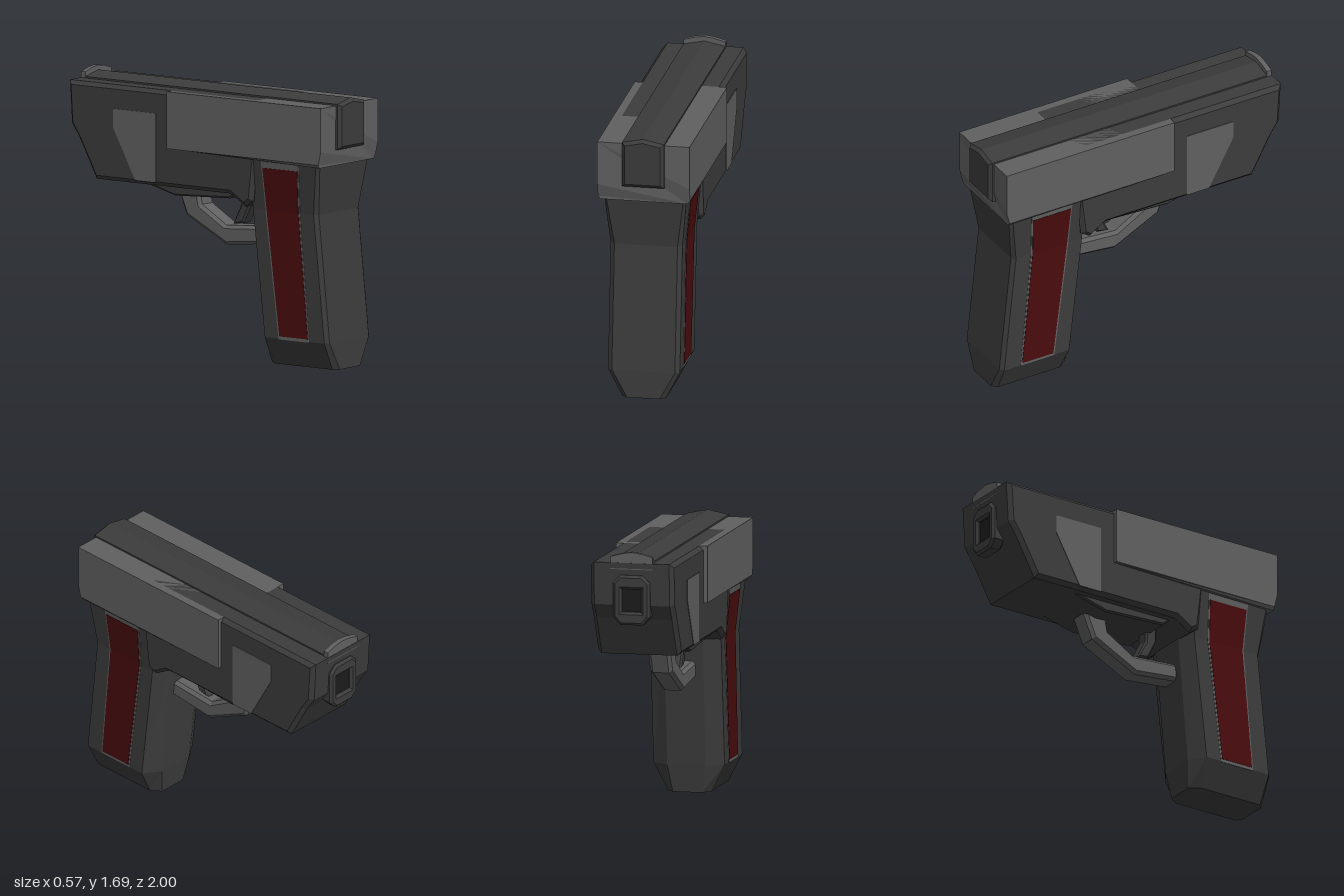
import * as THREE from 'three';

const mat = (color) => new THREE.MeshStandardMaterial({ color, flatShading: true });
const dark = mat(0x3c3c3c), light = mat(0x606060), red = mat(0x4a0c0e), black = mat(0x1c1c1c);

function toShape(points) {
  return new THREE.Shape(points.map(([a, b]) => new THREE.Vector2(a, b)));
}

// Extrusion centred on its depth axis, chamfered inside the given outline
function extrude(shape, depth, bevel) {
  const g = new THREE.ExtrudeGeometry(shape, {
    depth: depth - 2 * bevel, bevelEnabled: bevel > 0, bevelSegments: 1,
    bevelSize: bevel, bevelThickness: bevel, bevelOffset: -bevel,
  });
  return g.translate(0, 0, bevel - depth / 2);
}

// Side outline in [z, y], extruded across x
function slab(points, halfWidth, bevel = 0) {
  return extrude(toShape(points), 2 * halfWidth, bevel).rotateY(-Math.PI / 2);
}

// Front outline in [x, y], extruded from z0 to z1
function bar(shape, z0, z1, bevel = 0) {
  return extrude(shape, z1 - z0, bevel).translate(0, 0, (z0 + z1) / 2);
}

// Mirrors the +x half of an outline, listed from bottom to top
function mirrored(half) {
  return [...half, ...half.slice().reverse().map(([x, y]) => [-x, y])];
}

// Skin over rings { y, pts: [x, z] }, from bottom to top, with end caps
function loft(rings) {
  const n = rings[0].pts.length, pos = [], idx = [];
  for (const { y, pts } of rings) for (const [x, z] of pts) pos.push(x, y, z);
  for (let i = 0; i < rings.length - 1; i++) {
    for (let j = 0; j < n; j++) {
      const a = i * n + j, b = i * n + (j + 1) % n;
      idx.push(a, b, b + n, a, b + n, a + n);
    }
  }
  const top = (rings.length - 1) * n;
  for (let j = 1; j < n - 1; j++) idx.push(0, j + 1, j, top, top + j, top + j + 1);
  const g = new THREE.BufferGeometry();
  g.setAttribute('position', new THREE.Float32BufferAttribute(pos, 3));
  g.setIndex(idx);
  const flat = g.toNonIndexed();
  flat.computeVertexNormals();
  return flat;
}

// Grip section: thin chamfers at the back, deep ones at the front
function gripRing(y, back, front, w, fBack, fFront, cBack, cFront) {
  return { y, pts: [
    [w, back - cBack], [w, front + cFront], [fFront, front], [-fFront, front],
    [-w, front + cFront], [-w, back - cBack], [-fBack, back], [fBack, back],
  ] };
}

function rectRing(y, back, front, w) {
  return { y, pts: [[w, back], [w, front], [-w, front], [-w, back]] };
}

export function createModel() {
  const group = new THREE.Group();
  const add = (name, geometry, material) => {
    const mesh = new THREE.Mesh(geometry, material);
    mesh.name = name;
    group.add(mesh);
  };

  // Main body with the slanted nose
  add('frame', slab([
    [0.45, 1.62], [-0.985, 1.62], [-0.97, 1.36], [-0.91, 1.27], [-0.78, 1.03],
    [0.25, 1.03], [0.36, 0.96], [0.42, 1.0], [0.45, 1.25],
  ].reverse(), 0.26, 0.025), dark);
  add('underside', slab([
    [0.28, 1.06], [0.2, 0.99], [-0.22, 0.97], [-0.45, 1.03], [-0.45, 1.06],
  ].reverse(), 0.19, 0.01), dark);

  // Wide rear cover, its back face leaning in at the bottom
  const cover = bar(toShape(mirrored([[0.27, 1.25], [0.285, 1.27], [0.285, 1.35], [0.285, 1.62]])), -0.21, 0.97);
  const p = cover.attributes.position;
  for (let i = 0; i < p.count; i++) {
    if (p.getY(i) < 1.3 && p.getZ(i) > 0) p.setZ(i, 0.95);
    if (p.getY(i) < 1.26 && p.getZ(i) < 0) p.setY(i, 1.27);
  }
  cover.computeVertexNormals();
  add('rearCover', cover, light);

  // Ridged rail along the top
  const rail = toShape([[0.13, 1.35], [0.13, 1.63], [0, 1.657], [-0.13, 1.63], [-0.13, 1.35]]);
  add('topRail', bar(rail, -0.975, 1.0, 0.02), dark);

  // Sight plate
  const sight = toShape([[0.13, 1.58], [0.13, 1.658], [0.06, 1.677], [0, 1.686],
    [-0.06, 1.677], [-0.13, 1.658], [-0.13, 1.58]]);
  add('sight', bar(sight, -0.983, -0.95), light);

  // Muzzle collar with a square opening
  const collar = toShape(mirrored([[0.07, 1.24], [0.115, 1.29], [0.115, 1.5], [0.07, 1.545]]));
  collar.holes.push(new THREE.Path([[-0.06, 1.32], [-0.06, 1.46], [0.06, 1.46], [0.06, 1.32]]
    .map(([x, y]) => new THREE.Vector2(x, y))));
  add('muzzle', bar(collar, -1.0, -0.91, 0.015), dark);
  add('bore', new THREE.BoxGeometry(0.14, 0.16, 0.03).translate(0, 1.39, -0.962), black);

  // Flat plates on both sides of the body
  for (const s of [1, -1]) {
    const plate = slab([
      [-0.31, 1.475], [-0.635, 1.475], [-0.635, 1.36], [-0.465, 1.05], [-0.31, 1.05],
    ].reverse(), 0.005).translate(s * 0.259, 0, 0);
    add(s > 0 ? 'leftPlate' : 'rightPlate', plate, light);
  }

  // Grip
  add('grip', loft([
    gripRing(0, 0.975, 0.45, 0.135, 0.1, 0.09, 0.03, 0.06),
    gripRing(0.17, 0.97, 0.425, 0.222, 0.195, 0.12, 0.02, 0.07),
    gripRing(0.95, 0.888, 0.355, 0.222, 0.195, 0.12, 0.02, 0.05),
    gripRing(1.27, 0.93, 0.345, 0.255, 0.24, 0.15, 0.02, 0.05),
  ]), dark);

  // Inlaid panels with a thin trim, wrapped through the grip
  add('gripTrim', loft([
    rectRing(0.165, 0.835, 0.6, 0.223), rectRing(0.95, 0.764, 0.502, 0.2245),
    rectRing(1.25, 0.776, 0.49, 0.2555),
  ]), light);
  add('gripPanel', loft([
    rectRing(0.185, 0.825, 0.608, 0.2255), rectRing(0.95, 0.754, 0.512, 0.227),
    rectRing(1.212, 0.766, 0.5, 0.254),
  ]), red);

  // Trigger and its guard
  add('triggerGuard', slab([
    [0.42, 0.715], [0.08, 0.68], [-0.23, 0.835], [-0.3, 1.0], [-0.3, 1.03], [-0.14, 1.03],
    [-0.115, 0.91], [0.07, 0.8], [0.36, 0.82], [0.42, 0.82],
  ].reverse(), 0.07, 0.02), light);
  add('trigger', slab([
    [0.25, 1.05], [0.25, 0.94], [0.19, 0.82], [0.11, 0.81], [0.17, 0.93], [0.17, 1.05],
  ], 0.045, 0.012), dark);

  return group;
}
